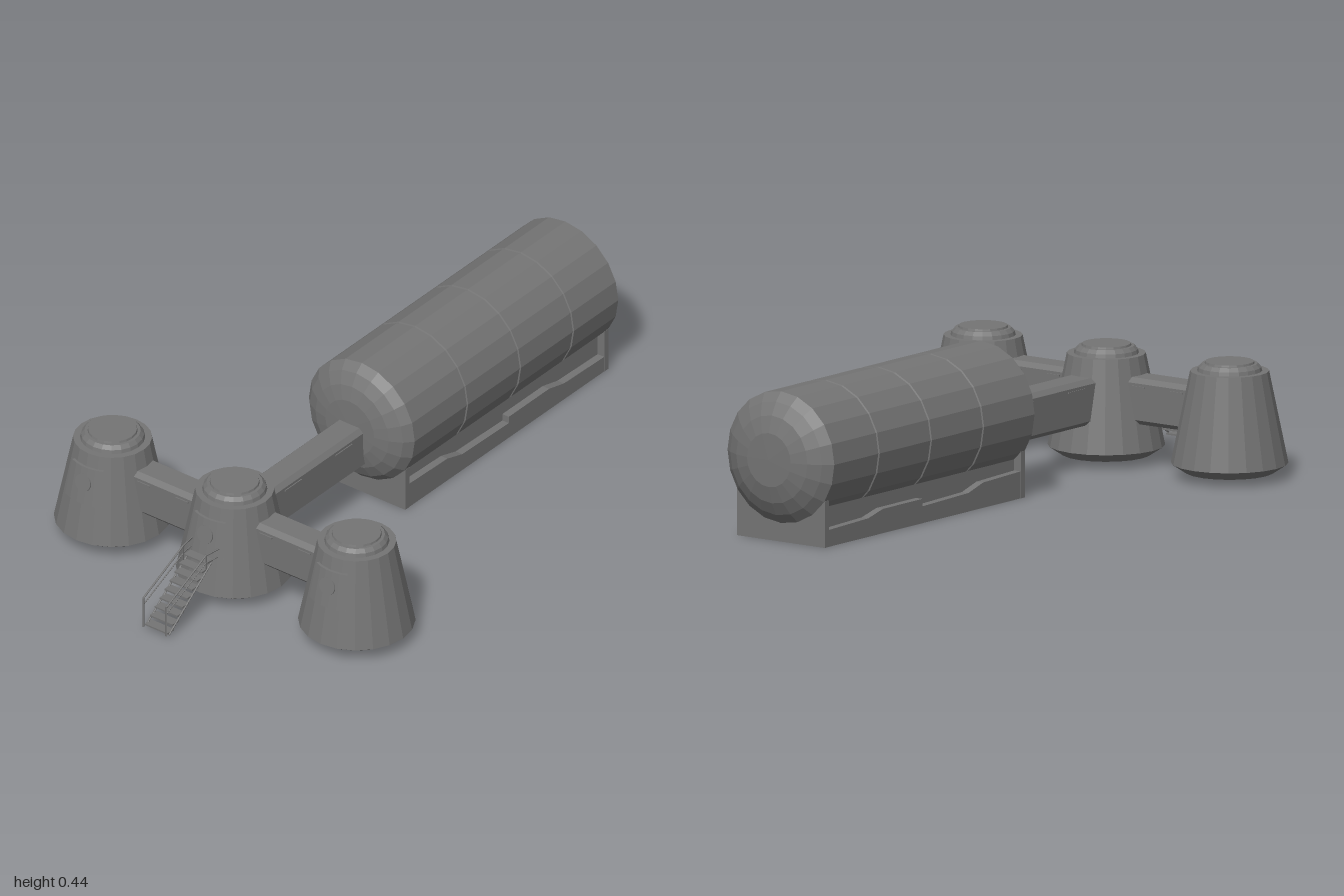
import * as THREE from 'three';

const grey = new THREE.MeshStandardMaterial({
  color: 0x747474, flatShading: true, side: THREE.DoubleSide,
});

function add(parent, name, geometry, x = 0, y = 0, z = 0) {
  const mesh = new THREE.Mesh(geometry, grey);
  mesh.name = name;
  mesh.position.set(x, y, z);
  parent.add(mesh);
  return mesh;
}

const lathe = (points, sides, start = 0, sweep = Math.PI * 2) =>
  new THREE.LatheGeometry(points.map(([r, y]) => new THREE.Vector2(r, y)), sides, start, sweep);

function extrude(points, depth) {
  const shape = new THREE.Shape(points.map(([x, y]) => new THREE.Vector2(x, y)));
  return new THREE.ExtrudeGeometry(shape, { depth, bevelEnabled: false });
}

// thin bar between two points
function bar(parent, name, a, b, radius) {
  const from = new THREE.Vector3(...a), to = new THREE.Vector3(...b);
  const dir = to.clone().sub(from);
  const mesh = add(parent, name, new THREE.CylinderGeometry(radius, radius, dir.length(), 5));
  mesh.position.copy(from).add(to).multiplyScalar(0.5);
  mesh.quaternion.setFromUnitVectors(new THREE.Vector3(0, 1, 0), dir.normalize());
}

// tapered round cabin with a stepped roof and a curved porthole door
function makePod(x) {
  const pod = new THREE.Group();
  pod.name = 'pod';
  pod.position.set(x, 0, 0.62);
  add(pod, 'podShell', lathe([
    [0, 0.018], [0.13, 0.018], [0.171, 0.045], [0.115, 0.317], [0.095, 0.317],
    [0.092, 0.328], [0.082, 0.339], [0.073, 0.339], [0.071, 0.345], [0, 0.345],
  ], 20));
  add(pod, 'doorPanel', lathe(
    [[0.13, 0.165], [0.154, 0.165], [0.131, 0.277], [0.11, 0.277]], 5, -0.45, 0.9));
  const porthole = add(pod, 'porthole',
    new THREE.CylinderGeometry(0.028, 0.028, 0.02, 20), 0, 0.227, 0.132);
  porthole.rotation.x = Math.PI / 2 - 0.2;
  return pod;
}

// chamfered passage running along +z from its origin
function makeCorridor(length) {
  const corridor = new THREE.Group();
  corridor.name = 'corridor';
  const w = 0.05, c = 0.014, lo = 0.127, hi = 0.264;
  add(corridor, 'corridorTube', extrude([
    [-w + c, lo], [w - c, lo], [w, lo + c], [w, hi - c],
    [w - c, hi], [-w + c, hi], [-w, hi - c], [-w, lo + c],
  ], length));
  for (const side of [-1, 1])
    for (const t of [0.24, 0.76])
      add(corridor, 'sideRail', new THREE.BoxGeometry(0.004, 0.004, length * 0.17),
        side * 0.051, 0.24, length * t);
  return corridor;
}

// horizontal tank with domed ends and three fine grooves
function makeTank() {
  const R = 0.195;
  const profile = [[0, -1], [0.08, -0.998], [0.13, -0.984], [0.168, -0.963], [R, -0.94]];
  for (const z of [-0.727, -0.477, -0.227])
    profile.push([R, z - 0.005], [R - 0.004, z - 0.003], [R - 0.004, z + 0.003], [R, z + 0.005]);
  profile.push([R, 0.02], [0.172, 0.046], [0.135, 0.066], [0.09, 0.077], [0, 0.08]);
  const geometry = lathe(profile, 20);
  geometry.rotateX(Math.PI / 2);
  return geometry;
}

// cradle under the tank: end plates, recessed core and a stepped skirt
function makeBase() {
  const base = new THREE.Group();
  base.name = 'base';
  for (const z of [0.01, -0.93])
    add(base, 'endPlate', new THREE.BoxGeometry(0.32, 0.138, 0.02), 0, 0.069, z);
  add(base, 'core', new THREE.BoxGeometry(0.27, 0.12, 0.92), 0, 0.06, -0.46);
  const skirt = extrude([
    [0, 0], [0.92, 0], [0.92, 0.05], [0.73, 0.055], [0.66, 0.072], [0.47, 0.072],
    [0.47, 0.05], [0.25, 0.055], [0.18, 0.075], [0, 0.08],
  ], 0.318);
  skirt.rotateY(Math.PI / 2);
  add(base, 'skirt', skirt, -0.159, 0, 0);
  return base;
}

// open stair with handrails on both sides
function makeStairs() {
  const stairs = new THREE.Group();
  stairs.name = 'stairs';
  const steps = 9;
  for (let i = 0; i < steps; i++) {
    const t = i / (steps - 1);
    add(stairs, 'step', new THREE.BoxGeometry(0.084, 0.005, 0.03),
      0, 0.018 + 0.147 * t, 0.975 - 0.185 * t);
  }
  for (const s of [-1, 1]) {
    const x = s * 0.042;
    bar(stairs, 'stringer', [x, 0.012, 0.985], [x, 0.16, 0.785], 0.003);
    bar(stairs, 'lowPost', [x, 0.014, 0.997], [x, 0.113, 0.997], 0.003);
    bar(stairs, 'highPost', [x, 0.15, 0.81], [x, 0.198, 0.81], 0.003);
    bar(stairs, 'handrail', [x, 0.113, 0.997], [x, 0.198, 0.81], 0.003);
    bar(stairs, 'midRail', [x, 0.09, 0.997], [x, 0.172, 0.81], 0.002);
    bar(stairs, 'topRail', [x, 0.198, 0.81], [s * 0.05, 0.198, 0.755], 0.003);
    bar(stairs, 'topMidRail', [x, 0.172, 0.81], [s * 0.05, 0.172, 0.755], 0.002);
  }
  return stairs;
}

export function createModel() {
  const model = new THREE.Group();
  model.name = 'baseStation';

  for (const x of [-0.45, 0, 0.45]) model.add(makePod(x));

  // passages: one to the tank and one to each side pod
  const rear = makeCorridor(0.46);
  rear.position.z = 0.06;
  model.add(rear);
  for (const side of [-1, 1]) {
    const corridor = makeCorridor(0.27);
    corridor.position.set(side * 0.09, 0, 0.62);
    corridor.rotation.y = side * Math.PI / 2;
    model.add(corridor);
  }

  add(model, 'tank', makeTank(), 0, 0.25, 0);
  model.add(makeBase(), makeStairs());
  return model;
}
